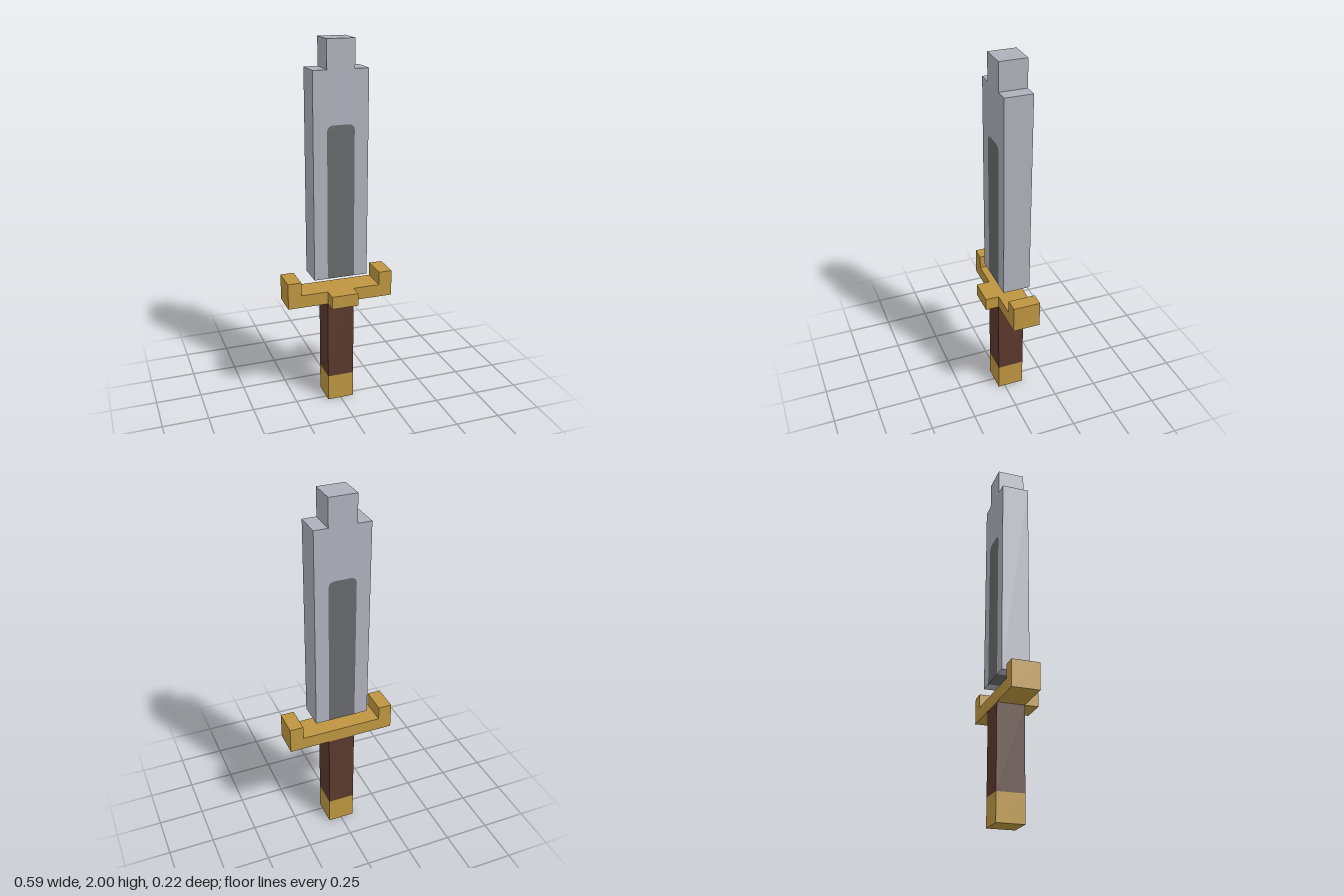
import * as THREE from 'three';

const U = 2 / 27;              // block unit: the sword is 27 blocks tall
const BACK = -1.5 * U;         // back plane of all main parts
const DEPTH = 2 * U;

const paint = (name, color) => {
  const m = new THREE.MeshStandardMaterial({ color });
  m.name = name;
  return m;
};

export function createModel() {
  const steel = paint('steel', 0xaeb0ba);
  const darkSteel = paint('dark steel', 0x66686b);
  const gold = paint('gold', 0xbd9540);
  const leather = paint('brown leather', 0x5a392c);

  const sword = new THREE.Group();
  sword.name = 'sword';

  const add = (name, geometry, material) => {
    const mesh = new THREE.Mesh(geometry, material);
    mesh.name = name;
    sword.add(mesh);
    return mesh;
  };

  // Box from block ranges in x (symmetric), y and z
  const block = (name, halfX, y0, y1, z0, z1, material) => {
    const g = new THREE.BoxGeometry(2 * halfX * U, (y1 - y0) * U, (z1 - z0) * U);
    add(name, g, material).position.set(0, (y0 + y1) / 2 * U, (z0 + z1) / 2 * U);
  };

  // Slab from the right half of an outline, mirrored to the left
  const slab = (name, half, material) => {
    const left = half.filter(([x]) => x > 0).reverse().map(([x, y]) => [-x, y]);
    const pts = [...half, ...left].map(([x, y]) => new THREE.Vector2(x * U, y * U));
    const g = new THREE.ExtrudeGeometry(new THREE.Shape(pts), { depth: DEPTH, bevelEnabled: false });
    g.translate(0, 0, BACK);
    add(name, g, material);
  };

  // Grip and pommel
  block('pommel', 1, 0, 2, -1.5, 0.5, gold);
  block('grip', 1, 2, 8.05, -1.5, 0.5, leather);

  // Crossguard with upturned ends and a front boss
  slab('crossguard', [[4, 8.05], [4, 10], [3, 10], [3, 9], [0, 9]], gold);
  block('guardBoss', 1, 8.05, 9, 0.5, 1.5, gold);

  // Rounded top corner of the fuller, right half, from bottom to centre
  const fuller = [[1, 10.05]];
  const r = 0.42, top = 21.25;
  for (let i = 0; i <= 5; i++) {
    const a = i / 5 * Math.PI / 2;
    fuller.push([1 - r + r * Math.cos(a), top - r + r * Math.sin(a)]);
  }
  fuller.push([0, top]);

  // Blade wraps the flush fuller, floating just above the guard
  slab('blade', [...fuller].reverse().concat([[2, 10.05], [2, 25], [1, 25], [1, 27]]), steel);
  slab('fuller', fuller, darkSteel);

  return sword;
}
